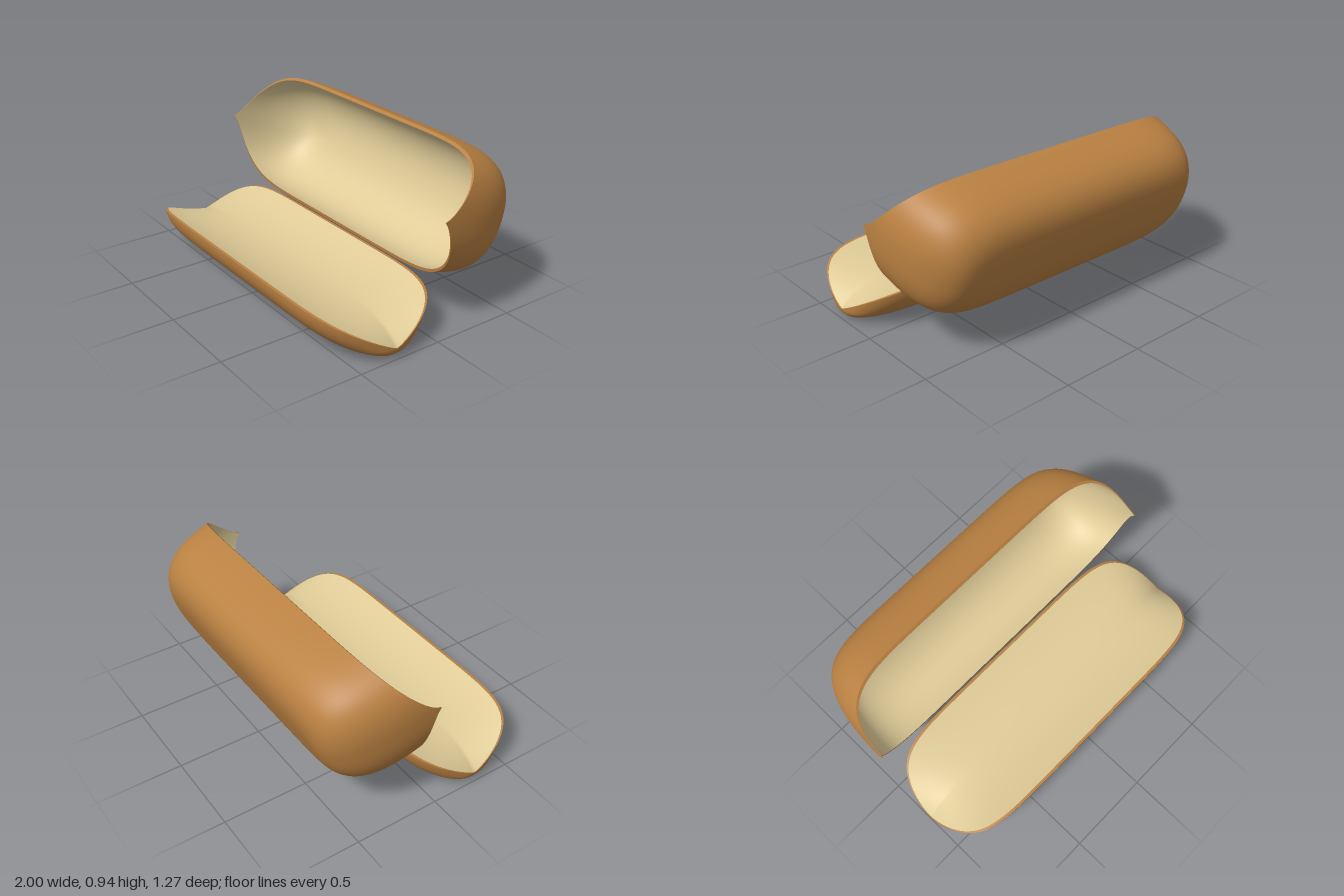
import * as THREE from 'three';

const SEG = 192, ROWS = 28, HALF = 0.3625;

// quarter-curve rising from 0 to 1
const ease = (u, e) => Math.pow(1 - Math.pow(1 - Math.min(Math.max(u, 0), 1), e), 1 / e);
const spow = (v, p) => Math.sign(v) * Math.pow(Math.abs(v), p);

// unit plan outline: long straight sides with softly bowed ends
const outline = [];
for (let i = 0; i < SEG; i++) {
  const t = (i / SEG) * Math.PI * 2;
  outline.push([spow(Math.cos(t), 2 / 7.5), spow(Math.sin(t), 2 / 2.4)]);
}

// closed rings joined into a smooth surface
function loft(rows, flip) {
  const pos = rows.flat(2), idx = [];
  for (let j = 0; j < rows.length - 1; j++) {
    for (let i = 0; i < SEG; i++) {
      const n = (i + 1) % SEG;
      const a = j * SEG + i, b = j * SEG + n, c = a + SEG, d = b + SEG;
      if (flip) idx.push(a, b, c, b, d, c);
      else idx.push(a, c, b, b, c, d);
    }
  }
  const g = new THREE.BufferGeometry();
  g.setAttribute('position', new THREE.Float32BufferAttribute(pos, 3));
  g.setIndex(idx);
  g.computeVertexNormals();
  return g;
}

// rings of a shallow bowl hanging below y = 0, cut by a rim that shifts at the ends
function bowlRows({ depth, half, q, flat, round, roundH, e, endRim, rimPow }) {
  const width = k => half * ease(k / depth, q);
  const length = k => flat + round * ease(k / roundH, e);
  const rim = w => endRim * (1 - Math.pow(Math.abs(w) / HALF, rimPow));
  const tops = outline.map(([, s]) => {
    let lo = 0, hi = depth + 0.25;
    for (let n = 0; n < 40; n++) {
      const k = (lo + hi) / 2;
      if (k - depth < rim(width(k) * s)) lo = k; else hi = k;
    }
    return lo;
  });
  const rows = [];
  for (let j = 0; j <= ROWS; j++) {
    const g = Math.pow(j / ROWS, q);
    rows.push(outline.map(([c, s], i) => {
      const k = tops[i] * g;
      return [length(k) * c, k - depth, width(k) * s];
    }));
  }
  return rows;
}

export function createModel() {
  const leather = new THREE.MeshStandardMaterial({ color: 0xba8142 });
  leather.name = 'brown leather';
  const felt = new THREE.MeshStandardMaterial({ color: 0xe0cc98 });
  felt.name = 'cream lining';

  const model = new THREE.Group();
  model.name = 'openCase';
  const part = (group, name, geo, mat) => {
    const m = new THREE.Mesh(geo, mat);
    m.name = name;
    group.add(m);
  };

  // base: rounded tray whose ends dip
  const base = new THREE.Group();
  base.name = 'base';
  base.position.set(0, 0.26, 0.2725);
  const tray = bowlRows({
    depth: 0.26, half: HALF, q: 2, flat: 0.92, round: 0.08, roundH: 0.07, e: 2, endRim: -0.196, rimPow: 1.1,
  });
  const trayRim = tray[ROWS];
  const innerRim = trayRim.map(([x, y, z]) => [x * 0.996, y, z * 0.955]);
  part(base, 'baseShell', loft(tray, false), leather);
  part(base, 'baseRim', loft([innerRim, trayRim], true), leather);

  // padded floor, sagging across and falling off at the ends
  const sag = w => -0.07 * (1 - Math.pow(w / (HALF * 0.955), 2));
  const floor = [];
  for (let j = 0; j <= ROWS; j++) {
    const r = 1 - Math.pow(1 - j / ROWS, 1.5);
    floor.push(innerRim.map(([x, y, z]) =>
      [x * r, sag(z * r) + (y - sag(z)) * Math.pow(r, 8), z * r]));
  }
  part(base, 'baseLining', loft(floor, true), felt);
  model.add(base);

  // lid: deeper bowl with protruding ends, tilted back on the hinge line
  const lid = new THREE.Group();
  lid.name = 'lid';
  lid.position.set(0, 0.6, -0.22);
  lid.rotation.x = 1.231;
  const cover = {
    depth: 0.39, half: HALF, q: 3.2, flat: 0.71, round: 0.29, roundH: 0.6, e: 2.6, endRim: 0.22, rimPow: 0.75,
  };
  const outer = bowlRows(cover);
  // padded lining, rounder and shallower than the shell
  const inner = bowlRows({
    ...cover, depth: 0.325, half: HALF - 0.018, q: 2.2, flat: 0.72, round: 0.275, roundH: 0.53,
  });
  part(lid, 'lidShell', loft(outer, false), leather);
  part(lid, 'lidRim', loft([inner[ROWS], outer[ROWS]], true), leather);
  part(lid, 'lidLining', loft(inner, true), felt);
  model.add(lid);

  return model;
}
